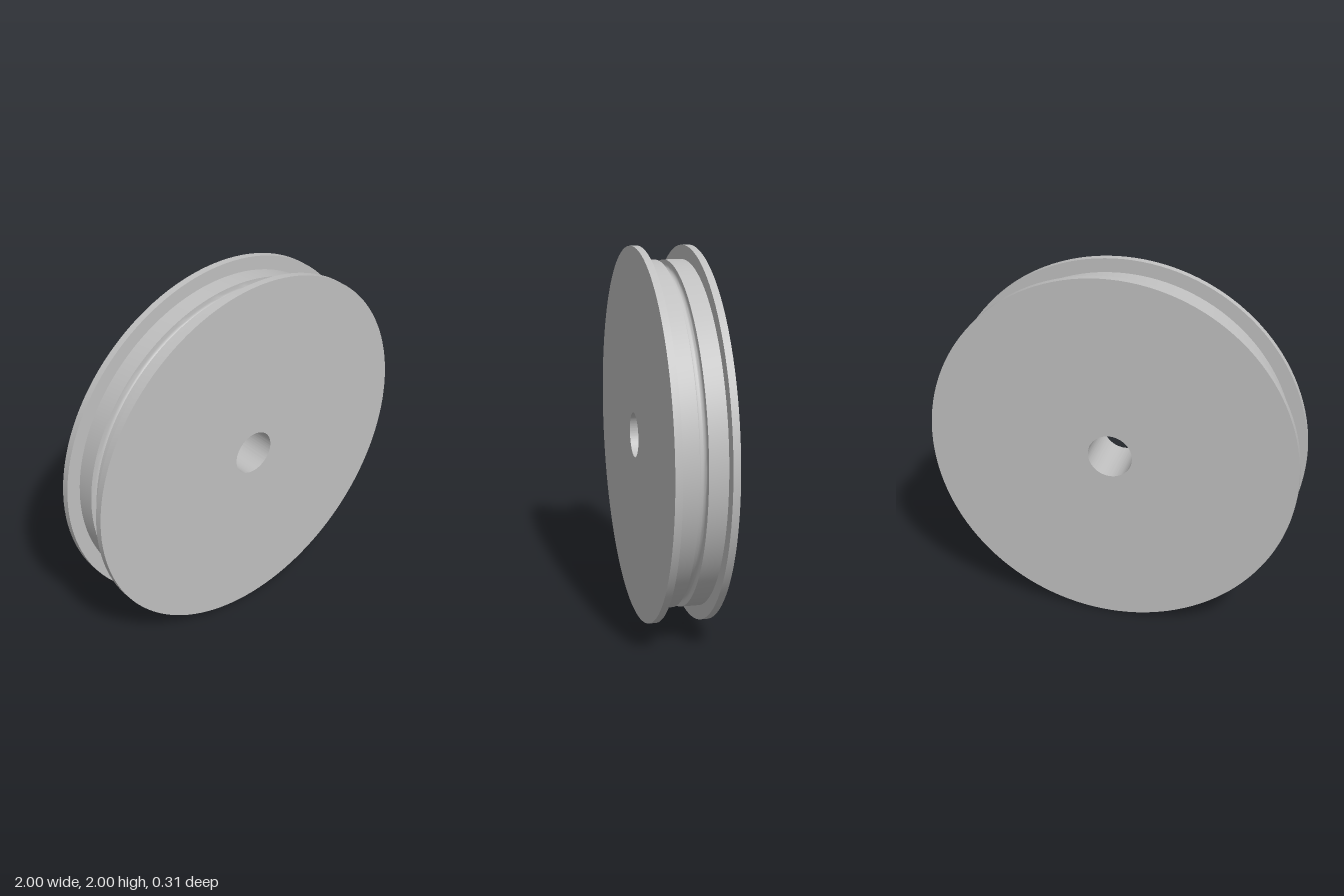
import * as THREE from 'three';
import { toCreasedNormals } from 'three/addons/utils/BufferGeometryUtils.js';

const BORE = 0.12, RIM = 1, DRUM = 0.925;       // radii
const HALF = 0.157, FLANGE = 0.12, SLOT = 0.022; // half widths
const SLOT_CENTRE = 0.902;                       // radius where the groove's round bottom begins

export function createModel() {
  const grey = new THREE.MeshStandardMaterial({ color: 0xc0c0c0 });
  grey.name = 'plain grey';

  // Half cross-section as (radius, offset along axle): flange, then drum
  const side = [[BORE, HALF], [RIM, HALF], [RIM, FLANGE], [DRUM, FLANGE], [DRUM, SLOT]];
  const profile = side.map(([r, y]) => new THREE.Vector2(r, -y));

  // Round-bottomed groove around the middle of the drum
  const steps = 10;
  for (let i = 0; i <= steps; i++) {
    const a = (i / steps) * Math.PI;
    profile.push(new THREE.Vector2(SLOT_CENTRE - SLOT * Math.sin(a), -SLOT * Math.cos(a)));
  }

  // Mirrored half, closed through the bore
  for (const [r, y] of [...side].reverse()) profile.push(new THREE.Vector2(r, y));
  profile.push(profile[0].clone());

  // Revolve about the axle, then lay the axle along z
  const geometry = toCreasedNormals(new THREE.LatheGeometry(profile, 128), 0.6);
  geometry.rotateX(Math.PI / 2);
  const wheel = new THREE.Mesh(geometry, grey);
  wheel.name = 'flangedGroovedWheel';
  wheel.position.y = RIM;

  const group = new THREE.Group();
  group.name = 'pulleyWheel';
  group.add(wheel);
  return group;
}
